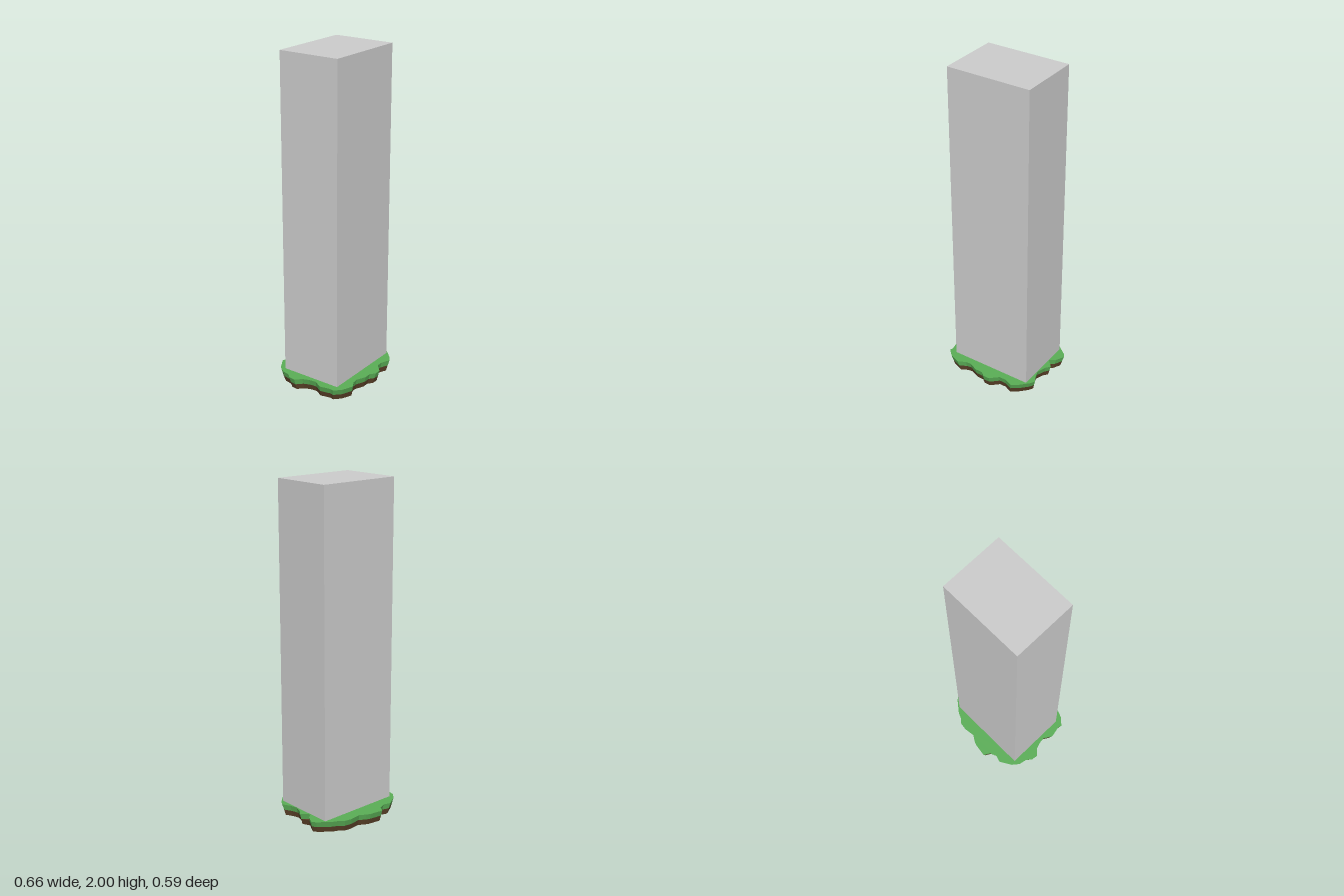
import * as THREE from 'three';

// Ragged edge of the turf, as [x, z] pairs
const EDGE = [
  [-0.079, -0.296], [0.002, -0.284], [0.029, -0.273], [0.064, -0.25], [0.132, -0.259],
  [0.179, -0.252], [0.207, -0.227], [0.239, -0.214], [0.314, -0.155], [0.33, -0.128],
  [0.304, -0.08], [0.291, -0.07], [0.269, -0.052], [0.311, -0.007], [0.289, 0.021],
  [0.27, 0.073], [0.282, 0.118], [0.305, 0.164], [0.288, 0.193], [0.239, 0.243],
  [0.2, 0.27], [0.148, 0.248], [0.105, 0.248], [0.057, 0.293], [0.016, 0.293],
  [-0.013, 0.27], [-0.057, 0.27], [-0.114, 0.245], [-0.148, 0.248], [-0.191, 0.272],
  [-0.257, 0.246], [-0.297, 0.207], [-0.291, 0.184], [-0.305, 0.116], [-0.275, 0.066],
  [-0.28, 0.021], [-0.295, -0.018], [-0.33, -0.052], [-0.323, -0.093], [-0.298, -0.123],
  [-0.289, -0.171], [-0.257, -0.211], [-0.186, -0.254], [-0.143, -0.241], [-0.1, -0.259],
];
const NOTCH = 12; // index of the deep notch on the left side
const TOP = 0.07, MIDDLE = 0.035;

// Slab between two heights, tapering inward toward the ground
function turfLayer(name, points, bottom, top, color) {
  const shape = new THREE.Shape(points.map(([x, z]) => new THREE.Vector2(x, z)));
  const geometry = new THREE.ExtrudeGeometry(shape, { depth: top - bottom, bevelEnabled: false });
  geometry.rotateX(Math.PI / 2).translate(0, top, 0);
  const p = geometry.attributes.position;
  for (let i = 0; i < p.count; i++) {
    const s = 0.94 + 0.06 * p.getY(i) / TOP;
    p.setX(i, p.getX(i) * s);
    p.setZ(i, p.getZ(i) * s);
  }
  geometry.computeVertexNormals();
  const mesh = new THREE.Mesh(geometry, new THREE.MeshStandardMaterial({ color, flatShading: true }));
  mesh.name = name;
  return mesh;
}

export function createModel() {
  const group = new THREE.Group();
  group.name = 'pillarOnTurf';

  // The soil fills the notch a little further out than the grass
  const soilEdge = EDGE.map((q, i) => (i === NOTCH ? [0.291, -0.05] : q));
  group.add(turfLayer('grass', EDGE, MIDDLE, TOP, 0x5aae56));
  group.add(turfLayer('soil', soilEdge, 0, MIDDLE, 0x5a4028));

  // Plain rectangular pillar
  const pillar = new THREE.Mesh(
    new THREE.BoxGeometry(0.518, 2 - TOP, 0.383),
    new THREE.MeshStandardMaterial({ color: 0xcccccc, flatShading: true }),
  );
  pillar.name = 'pillar';
  pillar.position.set(0.008, (2 + TOP) / 2, 0.011);
  group.add(pillar);
  return group;
}
